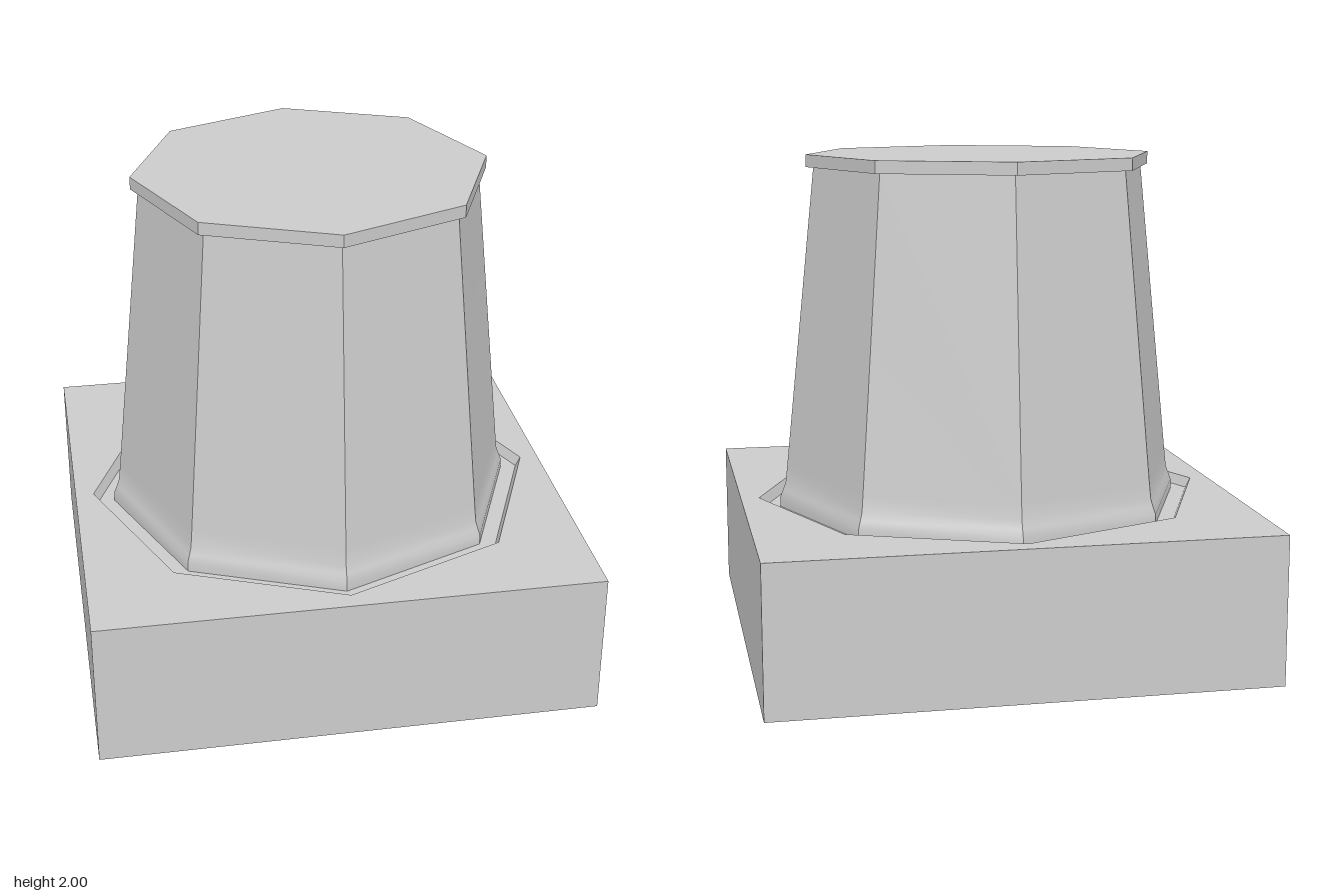
import * as THREE from 'three';
import { toCreasedNormals } from 'three/addons/utils/BufferGeometryUtils.js';

const material = new THREE.MeshStandardMaterial({ color: 0xcccccc });

// Faceted solid of revolution from [radius, y] pairs, with sharp corners kept
function faceted(name, profile, sides, start = 0) {
  const points = profile.map(([r, y]) => new THREE.Vector2(r, y));
  const geometry = new THREE.LatheGeometry(points, sides, start);
  const mesh = new THREE.Mesh(toCreasedNormals(geometry, Math.PI / 6), material);
  mesh.name = name;
  return mesh;
}

export function createModel() {
  const model = new THREE.Group();
  model.name = 'octagonalBollard';

  const plinthTop = 0.6, floor = 0.56, recessRadius = 0.925, footRadius = 0.838;

  // Square plinth: underside and four walls
  const corner = Math.SQRT2;
  model.add(faceted('plinth', [[0, 0], [corner, 0], [corner, plinthTop]], 4, Math.PI / 4));

  // Plinth top with an octagonal opening
  const top = new THREE.Shape([[-1, -1], [1, -1], [1, 1], [-1, 1]].map(([x, y]) => new THREE.Vector2(x, y)));
  const opening = [];
  for (let i = 0; i < 8; i++) {
    const a = -i * Math.PI / 4;
    opening.push(new THREE.Vector2(recessRadius * Math.cos(a), recessRadius * Math.sin(a)));
  }
  top.holes.push(new THREE.Path(opening));
  const topMesh = new THREE.Mesh(new THREE.ShapeGeometry(top).rotateX(-Math.PI / 2), material);
  topMesh.position.y = plinthTop;
  topMesh.name = 'plinthTop';
  model.add(topMesh);

  // Sloped wall and floor of the recess around the foot
  model.add(faceted('recess', [[recessRadius, plinthTop], [0.905, floor], [footRadius, floor]], 8));

  // Tapered shaft with a flared foot
  model.add(faceted('shaft', [
    [footRadius, floor], [footRadius, plinthTop], [0.826, 0.63], [0.815, 0.66], [0.807, 0.73], [0.68, 1.95],
  ], 8));

  // Overhanging cap slab
  model.add(faceted('cap', [[0.68, 1.95], [0.71, 1.95], [0.71, 2], [0, 2]], 8));

  return model;
}
